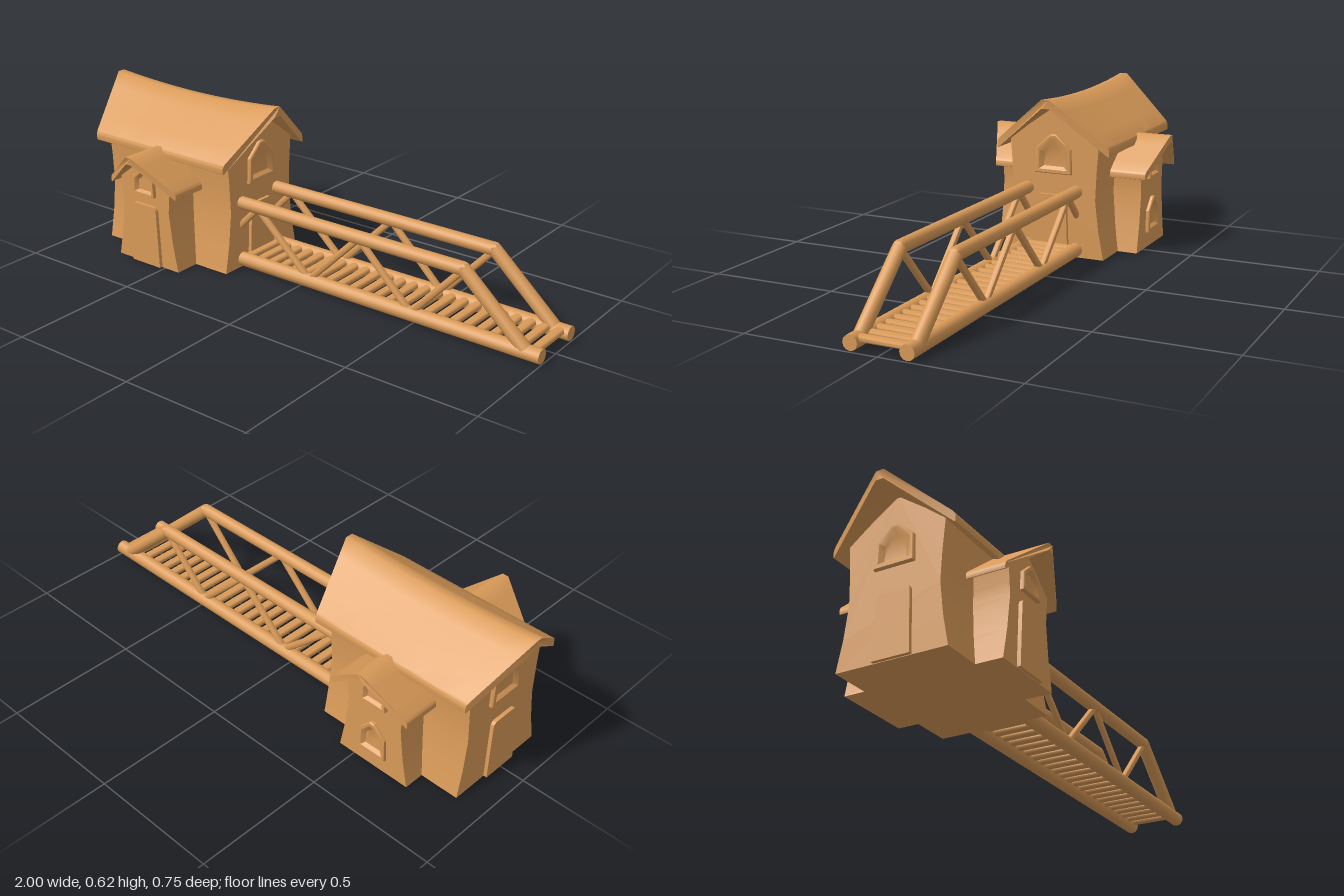
import * as THREE from 'three';
import { toCreasedNormals } from 'three/addons/utils/BufferGeometryUtils.js';

const material = new THREE.MeshStandardMaterial({ color: 0xd99a58, side: THREE.DoubleSide });
const CX = -0.585, CZ = -0.0125; // centre of the house

function addMesh(parent, name, geometry, crease = 0.6) {
  const mesh = new THREE.Mesh(toCreasedNormals(geometry, crease), material);
  mesh.name = name;
  parent.add(mesh);
  return mesh;
}

// Closed outline from the right half of a profile, mirrored about the y axis.
function mirroredShape(half) {
  const left = half.filter(p => p[0] > 0).reverse().map(([u, y]) => [-u, y]);
  return new THREE.Shape([...half, ...left].map(([u, y]) => new THREE.Vector2(u, y)));
}

// Gabled wall block with a flared foot, running from z = a to z = b.
function wallGeometry(foot, waist, top, eaveY, ridgeY, a, b) {
  const mid = waist + (foot - waist) * 0.4;
  const shape = mirroredShape([[foot, 0], [mid, 0.11], [waist, 0.23],
    [waist + (top - waist) * 0.35, (0.23 + eaveY) / 2], [top, eaveY], [0, ridgeY]]);
  const g = new THREE.ExtrudeGeometry(shape, { depth: b - a, bevelEnabled: false });
  return g.translate(0, 0, a);
}

// Chevron roof: ridge and eaves have their own lengths, the ridge sags by `sag`.
function roofGeometry({ half, ridgeY, eaveY, thick, flat, eave, ridge, sag }) {
  const r = thick * 0.3;
  const shape = new THREE.Shape();
  shape.moveTo(-flat, ridgeY);
  shape.lineTo(flat, ridgeY);
  for (let i = 1; i <= 4; i++) {
    const t = i / 4;
    shape.lineTo(THREE.MathUtils.lerp(flat, half - r, t), THREE.MathUtils.lerp(ridgeY, eaveY + r, t));
  }
  shape.quadraticCurveTo(half, eaveY, half, eaveY - r);
  shape.lineTo(half, eaveY - thick + r);
  shape.quadraticCurveTo(half, eaveY - thick, half - r, eaveY - thick + r);
  shape.lineTo(flat, ridgeY - thick);
  shape.lineTo(-flat, ridgeY - thick);
  shape.lineTo(-half + r, eaveY - thick + r);
  shape.quadraticCurveTo(-half, eaveY - thick, -half, eaveY - thick + r);
  shape.lineTo(-half, eaveY - r);
  shape.quadraticCurveTo(-half, eaveY, -half + r, eaveY + r);
  for (let i = 3; i >= 1; i--) {
    const t = i / 4;
    shape.lineTo(-THREE.MathUtils.lerp(flat, half - r, t), THREE.MathUtils.lerp(ridgeY, eaveY + r, t));
  }
  const g = new THREE.ExtrudeGeometry(shape, { depth: 1, steps: 12, bevelEnabled: false, curveSegments: 4 });
  const p = g.attributes.position;
  for (let i = 0; i < p.count; i++) {
    const d = p.getZ(i);
    const k = 1 - Math.max(0, Math.abs(p.getX(i)) - flat) / (half - flat);
    const start = THREE.MathUtils.lerp(eave[0], ridge[0], k);
    const end = THREE.MathUtils.lerp(eave[1], ridge[1], k);
    p.setZ(i, THREE.MathUtils.lerp(start, end, d));
    p.setY(i, p.getY(i) - sag * k * (1 - (2 * d - 1) ** 2));
  }
  return g;
}

// Pointed window surround with a sloped reveal around a recessed pane.
function windowGeometry(w, h) {
  const ring = (s, z, drop) => [[-1, 0], [1, 0], [0.94, 0.64], [0.16, 1], [-0.16, 1], [-0.94, 0.64]]
    .map(([u, v]) => [u * w * s, h * (0.45 + (v - 0.45) * s) - drop, z]);
  const rings = [ring(1, -0.01, 0), ring(1, 0.01, 0), ring(0.95, 0.014, 0),
    ring(0.78, 0.014, 0), ring(0.55, 0.002, h * 0.02)];
  const pos = [];
  for (let j = 0; j < rings.length - 1; j++) {
    for (let i = 0; i < 6; i++) {
      const n = (i + 1) % 6;
      const a = rings[j][i], b = rings[j][n], c = rings[j + 1][n], d = rings[j + 1][i];
      pos.push(...a, ...b, ...c, ...a, ...c, ...d);
    }
  }
  const pane = rings[rings.length - 1];
  for (let i = 1; i < 5; i++) pos.push(...pane[0], ...pane[i], ...pane[i + 1]);
  const g = new THREE.BufferGeometry();
  g.setAttribute('position', new THREE.Float32BufferAttribute(pos, 3));
  g.computeVertexNormals();
  return g;
}

// Tapered door leaf with rounded upper corners.
function doorGeometry() {
  const s = new THREE.Shape();
  s.moveTo(-0.071, 0.002);
  s.lineTo(0.071, 0.002);
  s.lineTo(0.062, 0.222);
  s.quadraticCurveTo(0.061, 0.24, 0.044, 0.243);
  s.lineTo(-0.044, 0.243);
  s.quadraticCurveTo(-0.061, 0.24, -0.062, 0.222);
  return new THREE.ExtrudeGeometry(s, { depth: 0.024, bevelEnabled: false, curveSegments: 5 }).translate(0, 0, -0.01);
}

// Round bar between two points.
function bar(parent, name, from, to, radius, sides = 12) {
  const a = new THREE.Vector3(...from), b = new THREE.Vector3(...to);
  const mesh = addMesh(parent, name, new THREE.CylinderGeometry(radius, radius, a.distanceTo(b), sides), 0.9);
  mesh.position.copy(a).add(b).multiplyScalar(0.5);
  mesh.quaternion.setFromUnitVectors(new THREE.Vector3(0, 1, 0), b.sub(a).normalize());
  return mesh;
}

function buildHouse() {
  const house = new THREE.Group();
  house.name = 'house';

  // Main block along x and cross wing along z
  const main = addMesh(house, 'mainWalls', wallGeometry(0.208, 0.172, 0.185, 0.453, 0.583, -0.305, 0.305).rotateY(Math.PI / 2));
  main.position.set(CX, 0, CZ);
  const wing = addMesh(house, 'wingWalls', wallGeometry(0.153, 0.116, 0.125, 0.33, 0.425, -0.3, 0.295));
  wing.position.x = CX;

  const mainRoof = addMesh(house, 'mainRoof', roofGeometry({
    half: 0.234, ridgeY: 0.622, eaveY: 0.44, thick: 0.035, flat: 0.015,
    eave: [-0.325, 0.325], ridge: [-0.413, 0.393], sag: 0.02
  }).rotateY(Math.PI / 2), 0.7);
  mainRoof.position.set(CX, 0, CZ);
  const wingRoof = addMesh(house, 'wingRoof', roofGeometry({
    half: 0.167, ridgeY: 0.45, eaveY: 0.322, thick: 0.027, flat: 0.012,
    eave: [-0.333, 0.307], ridge: [-0.377, 0.377], sag: 0
  }), 0.7);
  wingRoof.position.x = CX;

  // Doors and windows on the four gable faces
  const place = (name, geometry, x, y, z, turn) => {
    const mesh = addMesh(house, name, geometry);
    mesh.position.set(x, y, z);
    mesh.rotation.y = turn;
  };
  place('frontDoor', doorGeometry(), CX, 0, 0.295, 0);
  place('frontWindow', windowGeometry(0.055, 0.105), CX, 0.28, 0.295, 0);
  place('backLowerWindow', windowGeometry(0.06, 0.137), CX, 0.063, -0.3, Math.PI);
  place('backUpperWindow', windowGeometry(0.055, 0.105), CX, 0.28, -0.3, Math.PI);
  for (const side of [-1, 1]) {
    const x = CX + side * 0.305, turn = side * Math.PI / 2;
    place('endDoor', doorGeometry(), x, 0, -0.006, turn);
    place('endWindow', windowGeometry(0.076, 0.152), x, 0.325, CZ, turn);
  }
  return house;
}

function buildBridge() {
  const bridge = new THREE.Group();
  bridge.name = 'bridge';
  const start = -0.3;

  // Two trusses: lower rail, bent upper rail and zigzag braces
  for (const z of [0.098, -0.106]) {
    bar(bridge, 'lowerRail', [start, 0.031, z], [1, 0.031, z], 0.027);
    bar(bridge, 'upperRail', [start, 0.26, z], [0.69, 0.26, z], 0.025);
    bar(bridge, 'slopingRail', [0.69, 0.26, z], [0.94, 0.035, z], 0.025);
    const joint = addMesh(bridge, 'railJoint', new THREE.SphereGeometry(0.025, 12, 8), 0.9);
    joint.position.set(0.69, 0.26, z);
    const zigzag = [[start, 0.152], [-0.2, 0.255], [0.04, 0.035], [0.26, 0.255], [0.485, 0.035], [0.69, 0.255]];
    for (let i = 1; i < zigzag.length; i++) {
      bar(bridge, 'brace', [...zigzag[i - 1], z], [...zigzag[i], z], 0.013, 8);
    }
  }

  // Deck of flattened round slats
  for (let i = 0; i < 24; i++) {
    const x = -0.26 + i * 0.0533;
    const slat = bar(bridge, 'deckSlat', [x, 0.04, -0.1], [x, 0.04, 0.09], 0.013, 10);
    slat.scale.x = 1.55;
  }
  return bridge;
}

export function createModel() {
  const model = new THREE.Group();
  model.name = 'houseWithBridge';
  model.add(buildHouse(), buildBridge());
  return model;
}
